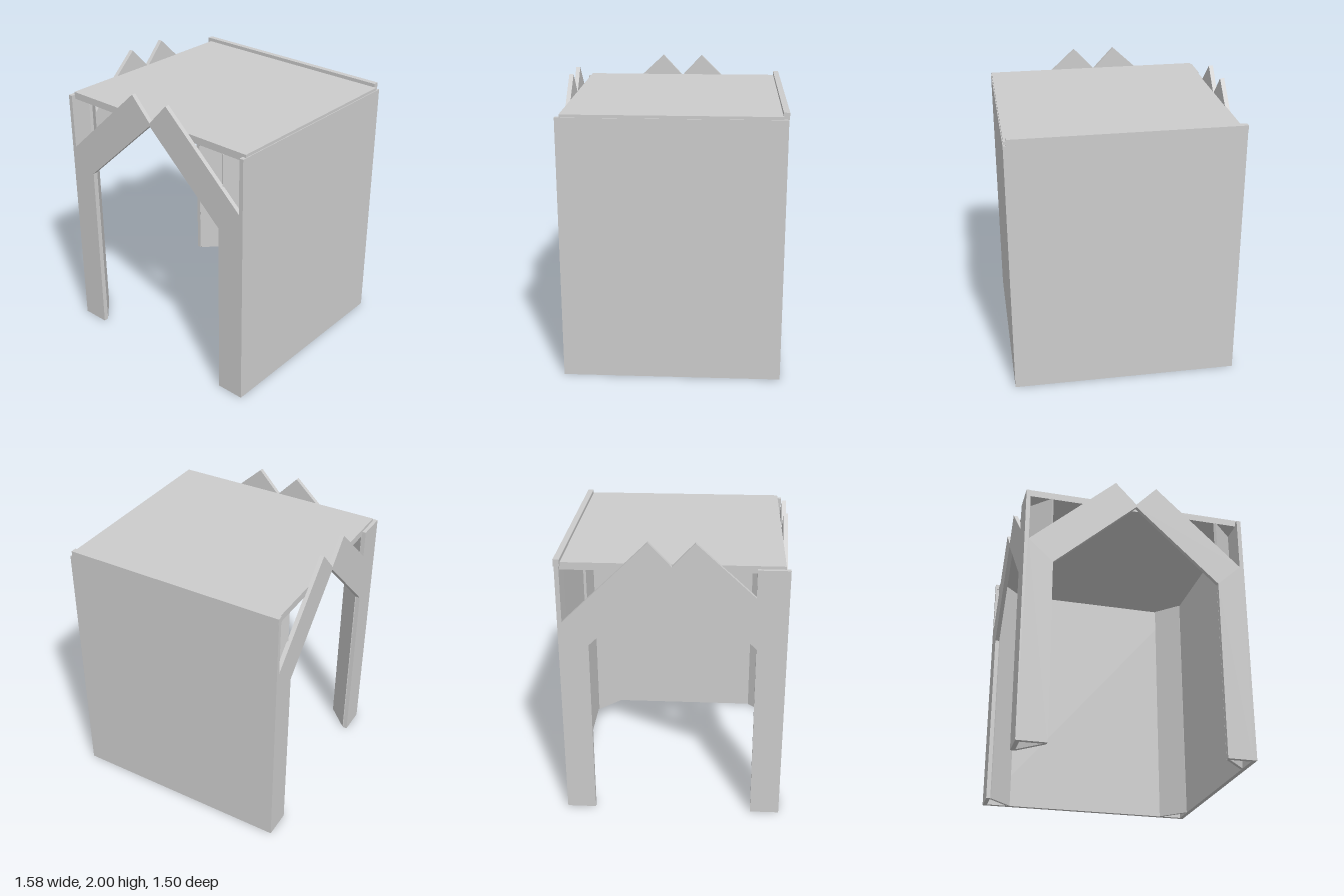
import * as THREE from 'three';

const T = 0.03; // panel thickness

export function createModel() {
  const model = new THREE.Group();
  const mat = new THREE.MeshStandardMaterial({ color: 0xcccccc, flatShading: true });

  function add(name, geometry) {
    const mesh = new THREE.Mesh(geometry, mat);
    mesh.name = name;
    model.add(mesh);
    return mesh;
  }

  // Box given by its minimum and maximum corners
  function slab(name, [x0, y0, z0], [x1, y1, z1]) {
    const mesh = add(name, new THREE.BoxGeometry(x1 - x0, y1 - y0, z1 - z0));
    mesh.position.set((x0 + x1) / 2, (y0 + y1) / 2, (z0 + z1) / 2);
    return mesh;
  }

  // Two posts joined by crossed gable beams; the end on +u may be a full height post
  function gable(name, uMin, uMax, inner, eaveY, tallPost) {
    const outline = [
      [uMin, 0], [-inner, 0], [-inner, eaveY], [0, 1.82], [inner, eaveY], [inner, 0], [uMax, 0],
    ];
    if (tallPost) outline.push([uMax, 1.83], [inner - 0.01, 1.83], [inner - 0.01, 1.64]);
    else outline.push([uMax, 1.44]);
    outline.push([0.15, 2], [0, 1.84], [-0.15, 2], [uMin, 1.44]);
    const shape = new THREE.Shape(outline.map(([u, y]) => new THREE.Vector2(u, y)));
    return add(name, new THREE.ExtrudeGeometry(shape, { depth: T, bevelEnabled: false }));
  }

  // Solid walls
  slab('backWall', [-0.79, 0, -0.75], [0.76, 1.83, -0.72]);
  slab('leftWall', [0.76, 0, -0.75], [0.79, 1.83, 0.75]);

  // Roof and the raised strip along its back edge
  slab('roof', [-0.765, 1.80, -0.72], [0.785, 1.85, 0.72]);
  slab('roofBackStrip', [-0.79, 1.83, -0.755], [0.77, 1.875, -0.715]);

  // Open sides with gable beams
  gable('frontGable', -0.76, 0.76, 0.59, 1.28, false).position.z = 0.72;
  const side = gable('rightGable', -0.72, 0.75, 0.55, 1.28, true);
  side.rotation.y = -Math.PI / 2;
  side.position.x = -0.76;

  // Diagonal panels closing each corner post
  for (const sx of [-1, 1]) {
    for (const sz of [-1, 1]) {
      const panel = add('cornerPanel', new THREE.BoxGeometry(0.23, 1.80, 0.02));
      panel.position.set(0.68 * sx, 0.90, 0.64 * sz);
      panel.rotation.y = Math.atan2(sx, sz);
    }
  }

  return model;
}
